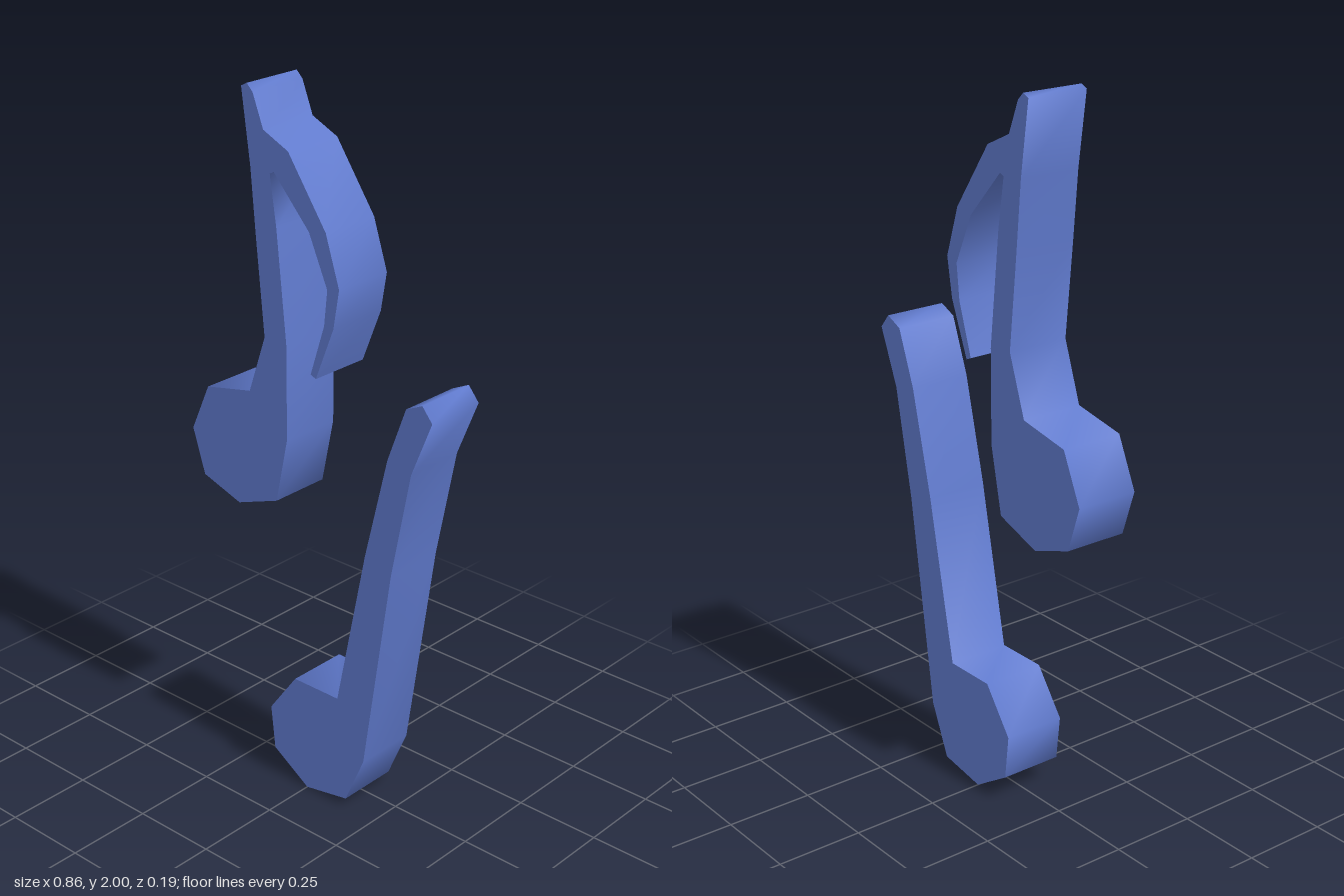
import * as THREE from 'three';
import { toCreasedNormals } from 'three/addons/utils/BufferGeometryUtils.js';

const DEPTH = 0.184;

// Extrudes an outline from zBack; side walls shade smoothly, the rim to the caps stays sharp
function noteMesh(name, outline, zBack, material) {
  const shape = new THREE.Shape(outline.map(([x, y]) => new THREE.Vector2(x, y)));
  const geometry = new THREE.ExtrudeGeometry(shape, { depth: DEPTH, bevelEnabled: false });
  geometry.translate(0, 0, zBack);
  const mesh = new THREE.Mesh(toCreasedNormals(geometry, 1.42), material);
  mesh.name = name;
  return mesh;
}

export function createModel() {
  const group = new THREE.Group();
  group.name = 'musicNotes';
  const blue = new THREE.MeshStandardMaterial({ color: 0x5f79cc });

  const flaggedNote = [
    // stem tip
    [-0.22, 1.99], [-0.2, 2], [-0.18, 1.98], [-0.145, 1.89],
    // flag, outer then inner edge
    [-0.06, 1.85], [0.067, 1.665], [0.112, 1.525], [0.093, 1.415], [0.032, 1.262],
    [0.014, 1.27], [0.061, 1.415], [0.072, 1.515], [0.01, 1.655], [-0.11, 1.787],
    // stem, right edge
    [-0.124, 1.78], [-0.103, 1.64], [-0.071, 1.32], [-0.073, 1.055],
    // head
    [-0.113, 0.866], [-0.255, 0.815], [-0.388, 0.86], [-0.43, 0.99], [-0.367, 1.13], [-0.208, 1.162],
    // stem, left edge
    [-0.15, 1.33], [-0.176, 1.6], [-0.192, 1.785],
  ];

  const plainNote = [
    // stem tip and right edge
    [0.342, 1.268], [0.394, 1.292], [0.427, 1.252], [0.362, 1.093], [0.3, 0.782],
    // head
    [0.21, 0.174], [0.146, 0.026], [0, 0], [-0.124, 0.08], [-0.138, 0.21], [-0.044, 0.338],
    // stem, left edge
    [0.114, 0.338], [0.21, 0.81], [0.283, 1.11],
  ];

  group.add(
    noteMesh('flaggedNote', flaggedNote, -0.096, blue),
    noteMesh('plainNote', plainNote, -0.09, blue),
  );
  return group;
}
